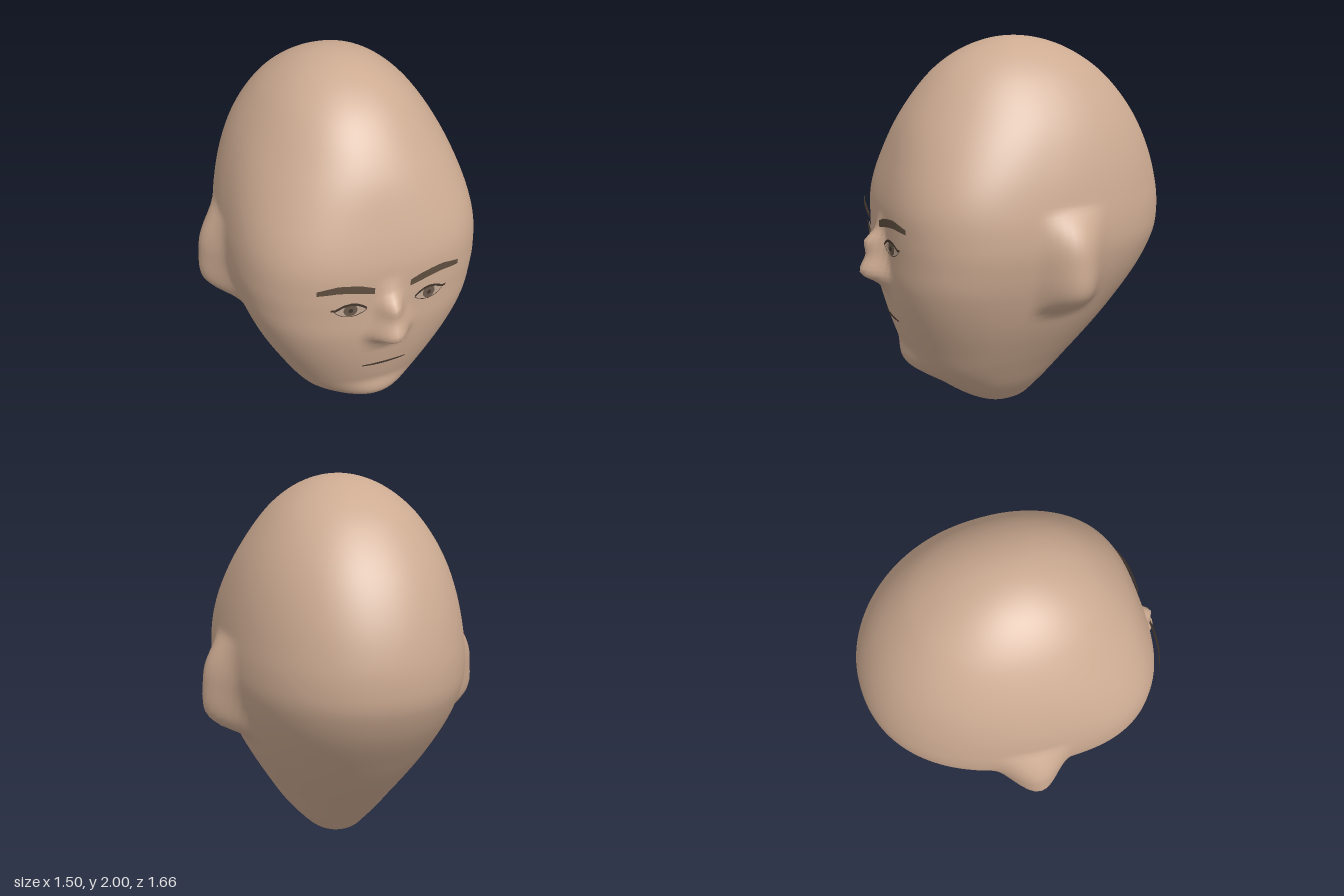
import * as THREE from 'three';

const mat = (name, color, side = THREE.FrontSide) => {
  const m = new THREE.MeshStandardMaterial({ color, side });
  m.name = name;
  return m;
};

// Smooth table lookup; the first column is y, mapped to a polar angle so the poles round off
const angle = y => Math.acos(THREE.MathUtils.clamp(1 - y, -1, 1));
function sample(table, y, col) {
  const n = table.length;
  if (y <= table[0][0]) return table[0][col];
  if (y >= table[n - 1][0]) return table[n - 1][col];
  let i = 0;
  while (table[i + 1][0] < y) i++;
  const a = k => angle(table[k][0]);
  const slope = k => {
    const p = Math.max(k - 1, 0), q = Math.min(k + 1, n - 1);
    return (table[q][col] - table[p][col]) / (a(q) - a(p));
  };
  const h = a(i + 1) - a(i), t = (angle(y) - a(i)) / h, t2 = t * t, t3 = t2 * t;
  return (2 * t3 - 3 * t2 + 1) * table[i][col] + (t3 - 2 * t2 + t) * h * slope(i)
    + (3 * t2 - 2 * t3) * table[i + 1][col] + (t3 - t2) * h * slope(i + 1);
}

// Skull: y, half width, front z, back z
const SKULL = [
  [0, 0, 0.04, 0.04], [0.03, 0.125, 0.19, -0.08], [0.1, 0.21, 0.32, -0.15],
  [0.2, 0.295, 0.45, -0.24], [0.3, 0.36, 0.555, -0.33], [0.4, 0.42, 0.61, -0.42],
  [0.6, 0.525, 0.67, -0.585], [0.8, 0.6, 0.705, -0.73], [0.95, 0.635, 0.71, -0.805],
  [1.05, 0.645, 0.712, -0.825], [1.2, 0.635, 0.705, -0.818], [1.4, 0.592, 0.652, -0.765],
  [1.6, 0.515, 0.572, -0.668], [1.8, 0.385, 0.427, -0.505], [1.9, 0.28, 0.307, -0.37],
  [1.97, 0.156, 0.16, -0.215], [2, 0, -0.02, -0.02],
];
// Nose: y, projection, half width
const NOSE = [
  [0.69, 0, 0.13], [0.765, 0.04, 0.145], [0.825, 0.122, 0.145], [0.92, 0.088, 0.115],
  [1.0, 0.088, 0.09], [1.045, 0.035, 0.085], [1.13, 0, 0.09],
];
// Ears: y, projection
const EAR = [[0.64, 0], [0.69, 0.03], [0.735, 0.105], [0.81, 0.145], [0.97, 0.112], [1.09, 0.077], [1.22, 0]];

const { smoothstep } = THREE.MathUtils;
const bump = u => (Math.abs(u) < 1 ? (1 - u * u) ** 2 : 0);

function section(y) {
  const w = sample(SKULL, y, 1), f = sample(SKULL, y, 2), b = sample(SKULL, y, 3);
  const z0 = (f + b) / 2 + 0.2 * w * (1 - smoothstep(y, 1.2, 1.9));
  const n = 2.15 + 0.65 * smoothstep(y, 0.35, 0.9) * (1 - smoothstep(y, 1.2, 1.7));
  return { w, f, b, z0, n };
}
// Forward push of the nose and chin
const faceBump = (x, y) =>
  sample(NOSE, y, 1) * bump(x / sample(NOSE, y, 2)) + 0.045 * bump(x / 0.25) * bump((y - 0.3) / 0.13);

function faceZ(x, y) {
  const { w, f, z0, n } = section(y);
  return z0 + (f - z0) * (1 - Math.min(1, Math.abs(x / w)) ** n) ** (1 / n) + faceBump(x, y);
}

// Head: rings from chin to crown with nose, chin and ears raised from them
function headGeometry(rows = 130, cols = 160) {
  const pos = [], idx = [];
  for (let r = 0; r <= rows; r++) {
    const y = 1 - Math.cos(Math.PI * r / rows);
    const { w, f, b, z0, n } = section(y);
    for (let c = 0; c < cols; c++) {
      const a = 2 * Math.PI * c / cols, cx = Math.sin(a), cz = Math.cos(a);
      const e = cz > 0 ? n : 2.15;
      const k = (Math.abs(cx) ** e + Math.abs(cz) ** e) ** (-1 / e);
      let x = w * cx * k, z = z0 + (cz > 0 ? f - z0 : z0 - b) * cz * k;
      if (cz > 0) z += faceBump(x, y);
      x += Math.sign(cx) * sample(EAR, y, 1) * bump((z + 0.075) / 0.21) * smoothstep(Math.abs(x), 0.3, 0.45);
      pos.push(x, y, z);
      if (r < rows) {
        const d = (c + 1) % cols, p = r * cols;
        idx.push(p + c, p + d, p + cols + d, p + c, p + cols + d, p + cols + c);
      }
    }
  }
  return build(pos, idx);
}

function build(pos, idx) {
  const g = new THREE.BufferGeometry();
  g.setAttribute('position', new THREE.Float32BufferAttribute(pos, 3));
  g.setIndex(idx);
  g.computeVertexNormals();
  return g;
}

// Thin strip lying over the face; points are [x, top y, bottom y] from nose outwards
function strip(points, side, lift) {
  const pts = points.map(([x, t, b]) => [x * side, t, b]).sort((p, q) => p[0] - q[0]);
  const pos = [], idx = [];
  pts.forEach(([x, t, b], i) => {
    const z = faceZ(x, (t + b) / 2) + lift;
    pos.push(x, t, z, x, b, z);
    if (i) {
      const k = 2 * i;
      idx.push(k - 2, k - 1, k + 1, k - 2, k + 1, k);
    }
  });
  return build(pos, idx);
}

// Disc lying over the face
function disc(x, y, radius, lift) {
  const g = new THREE.CircleGeometry(radius, 20).translate(x, y, 0);
  const p = g.attributes.position;
  for (let i = 0; i < p.count; i++) p.setZ(i, faceZ(p.getX(i), p.getY(i)) + lift);
  g.computeVertexNormals();
  return g;
}

export function createModel() {
  const head = new THREE.Group();
  head.name = 'head';
  const D = THREE.DoubleSide;
  const skin = mat('skin', 0xcdab92);
  const brow = mat('brow brown', 0x5e4e3f, D);
  const white = mat('eye white', 0xbfa592, D);
  const iris = mat('iris brown', 0x6a594b, D);
  const dark = mat('dark line', 0x43372d, D);
  const add = (name, geometry, material) => {
    const m = new THREE.Mesh(geometry, material);
    m.name = name;
    head.add(m);
  };

  add('skull', headGeometry(), skin);

  const BROW = [[0.092, 1.12, 1.085], [0.15, 1.143, 1.1], [0.21, 1.155, 1.113],
    [0.27, 1.16, 1.119], [0.32, 1.149, 1.115], [0.368, 1.135, 1.11]];
  // Eye opening: x, upper lid y, lower lid y
  const EYE = [[0.126, 0.998, 0.994], [0.145, 1.014, 0.981], [0.175, 1.03, 0.969], [0.205, 1.035, 0.965],
    [0.24, 1.029, 0.97], [0.265, 1.016, 0.983], [0.283, 1.006, 1.0]];
  const upperLid = EYE.map(([x, t]) => [x, t + 0.012, t - 0.002]);
  upperLid.push([0.302, 1.018, 1.008]);
  const lowerLid = EYE.map(([x, , b]) => [x, b + 0.001, b - 0.003]);

  for (const [label, s] of [['left', 1], ['right', -1]]) {
    add(label + 'Eyebrow', strip(BROW, s, 0.033), brow);
    add(label + 'EyeWhite', strip(EYE, s, 0.012), white);
    add(label + 'Iris', disc(s * 0.206, 1.001, 0.034, 0.017), iris);
    add(label + 'Pupil', disc(s * 0.206, 1.001, 0.012, 0.02), dark);
    add(label + 'UpperLid', strip(upperLid, s, 0.022), dark);
    add(label + 'LowerLid', strip(lowerLid, s, 0.018), dark);
  }

  // Mouth line
  const MOUTH = [];
  for (let i = -6; i <= 6; i++) {
    const u = i / 6;
    MOUTH.push([0.118 * u, 0.581, 0.575 - 0.006 * (1 - u * u)]);
  }
  add('mouth', strip(MOUTH, 1, 0.008), dark);
  return head;
}
